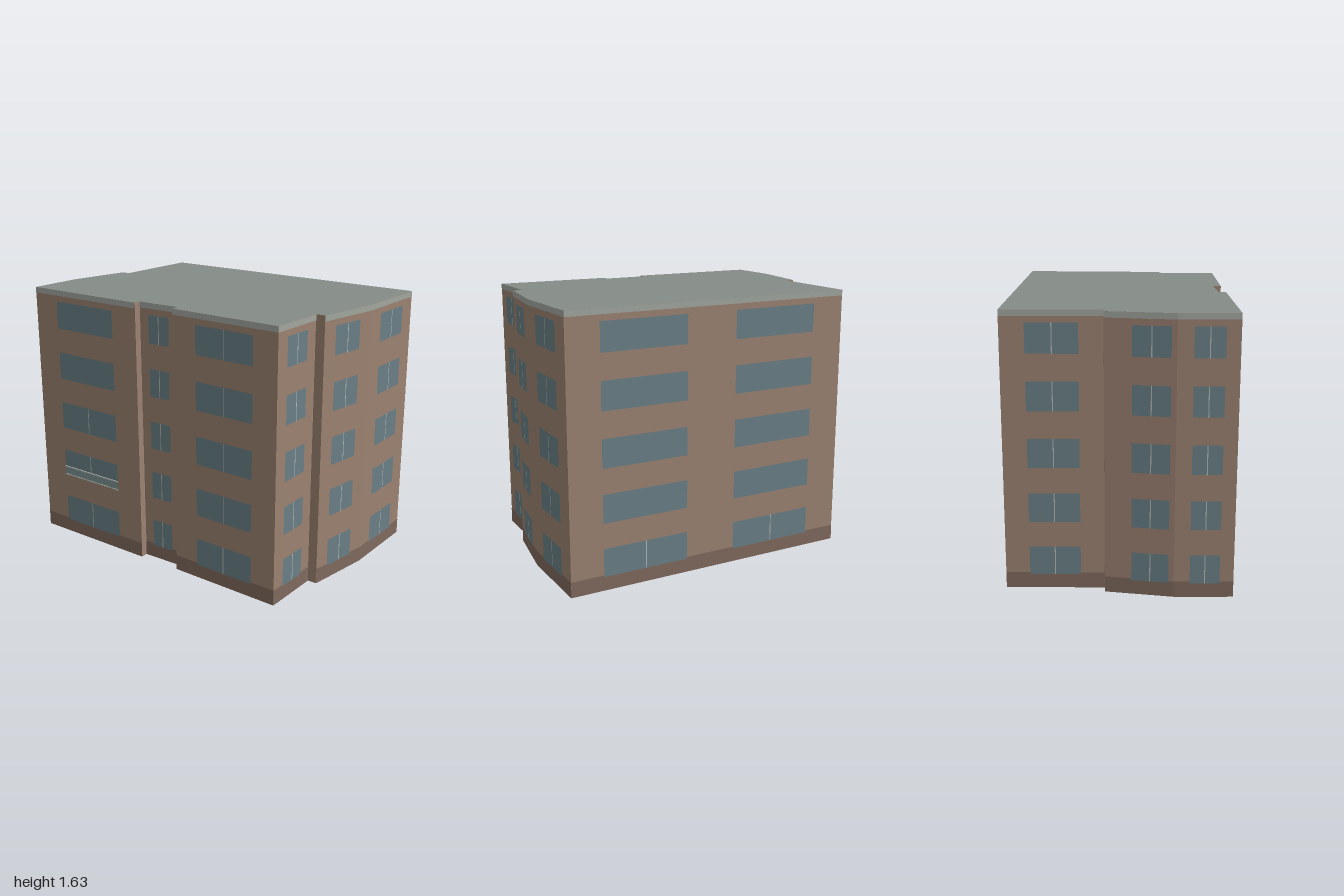
import * as THREE from 'three';

const HEIGHT = 1.634;
const COPING = 0.034;
const PLINTH = 0.095;
const ROWS = [0.085, 0.41, 0.735, 1.065, 1.392]; // window sill heights
const WINDOW_H = 0.172;
const ALL = [0, 1, 2, 3, 4];

const paint = (color, side = THREE.FrontSide) => new THREE.MeshStandardMaterial({ color, side });

// Each wall starts at p and runs to the next wall's p, with the outside on its front.
// Windows: [start, end, floors with a mullion], measured along the world axis given.
// Short return walls are plain, without plinth or coping.
const WALLS = [
  { name: 'frontLeftWall', p: [-1, 0.62], axis: 0, railing: [-0.815, -0.35],
    windows: [[-0.815, -0.35, [0, 1, 2]]] },
  { name: 'recessReturnA', p: [-0.165, 0.645], plain: true },
  { name: 'recessWall', p: [-0.165, 0.6], axis: 0, windows: [[-0.1, 0.048, ALL]] },
  { name: 'recessReturnB', p: [0.115, 0.6], plain: true },
  { name: 'frontRightWall', p: [0.115, 0.65], axis: 0, windows: [[0.283, 0.68, ALL]] },
  { name: 'sideFrontWall', p: [0.84, 0.682], axis: 1, windows: [[0.595, 0.4, ALL]] },
  { name: 'sideStep', p: [0.853, 0.313], plain: true },
  { name: 'sideSlantWall', p: [0.91, 0.313], axis: 1, windows: [[0.22, 0.005, ALL]] },
  { name: 'sideBackWall', p: [0.985, -0.1], axis: 1, windows: [[-0.215, -0.495, ALL]] },
  { name: 'backWall', p: [1, -0.618], axis: 0,
    windows: [[0.795, 0.25, [0]], [-0.075, -0.628, [0]]] },
  { name: 'otherSideBackWall', p: [-0.842, -0.685], axis: 1, windows: [[-0.545, -0.25, ALL]] },
  { name: 'otherSideStep', p: [-0.86, -0.112], plain: true },
  { name: 'otherSideSlantWall', p: [-0.913, -0.112], axis: 1, windows: [[0.04, 0.25, ALL]] },
  { name: 'otherSideFrontWall', p: [-0.992, 0.28], axis: 1, windows: [[0.37, 0.54, ALL]] },
];

export function createModel() {
  const building = new THREE.Group();
  building.name = 'apartmentBlock';
  const mats = {
    wall: paint(0x9c8272, THREE.DoubleSide),
    plinth: paint(0x80695d),
    glass: paint(0x6a8086),
    frame: paint(0xb4b8b2),
    coping: paint(0xa2a79f),
    roof: paint(0x858b87, THREE.DoubleSide),
    railing: paint(0x7c9292, THREE.DoubleSide),
  };

  // Upright rectangle in wall coordinates: x along the wall, z outward
  const panel = (parent, name, mat, x0, x1, y0, y1, z) => {
    const mesh = new THREE.Mesh(new THREE.PlaneGeometry(x1 - x0, y1 - y0), mat);
    mesh.position.set((x0 + x1) / 2, (y0 + y1) / 2, z);
    mesh.name = name;
    parent.add(mesh);
  };

  WALLS.forEach((wall, i) => {
    const a = wall.p;
    const b = WALLS[(i + 1) % WALLS.length].p;
    const dx = b[0] - a[0], dz = b[1] - a[1];
    const length = Math.hypot(dx, dz);
    const along = (v) => ((v - a[wall.axis]) / (b[wall.axis] - a[wall.axis])) * length;

    const group = new THREE.Group();
    group.name = wall.name;
    group.position.set(a[0], 0, a[1]);
    group.rotation.y = Math.atan2(-dz, dx);
    building.add(group);

    panel(group, 'brickwork', mats.wall, 0, length, 0, HEIGHT, 0);
    if (wall.plain) return;
    panel(group, 'plinth', mats.plinth, 0, length, 0, PLINTH, 0.0015);
    panel(group, 'coping', mats.coping, 0, length, HEIGHT - COPING, HEIGHT, 0.0015);

    // Windows on every floor, some with a central mullion
    for (const [start, end, split] of wall.windows) {
      const x0 = along(start), x1 = along(end), mid = (x0 + x1) / 2;
      ROWS.forEach((y, floor) => {
        panel(group, 'window', mats.glass, x0, x1, y, y + WINDOW_H, 0.003);
        if (split.includes(floor)) {
          panel(group, 'mullion', mats.frame, mid - 0.003, mid + 0.003, y, y + WINDOW_H, 0.0045);
        }
      });
    }

    // Shallow balcony guard with two rails across the first-floor window
    if (wall.railing) {
      const [x0, x1] = wall.railing.map(along);
      panel(group, 'balconyGuard', mats.railing, x0, x1, 0.41, 0.47, 0.006);
      for (const y of [0.413, 0.467]) {
        const rail = new THREE.Mesh(new THREE.BoxGeometry(x1 - x0, 0.007, 0.006), mats.frame);
        rail.name = 'balconyRail';
        rail.position.set((x0 + x1) / 2, y, 0.006);
        group.add(rail);
      }
    }
  });

  // Flat roof following the footprint
  const outline = new THREE.Shape(WALLS.map(({ p }) => new THREE.Vector2(p[0], -p[1])));
  const roof = new THREE.Mesh(new THREE.ShapeGeometry(outline), mats.roof);
  roof.name = 'roof';
  roof.rotation.x = -Math.PI / 2;
  roof.position.y = HEIGHT;
  building.add(roof);

  return building;
}
